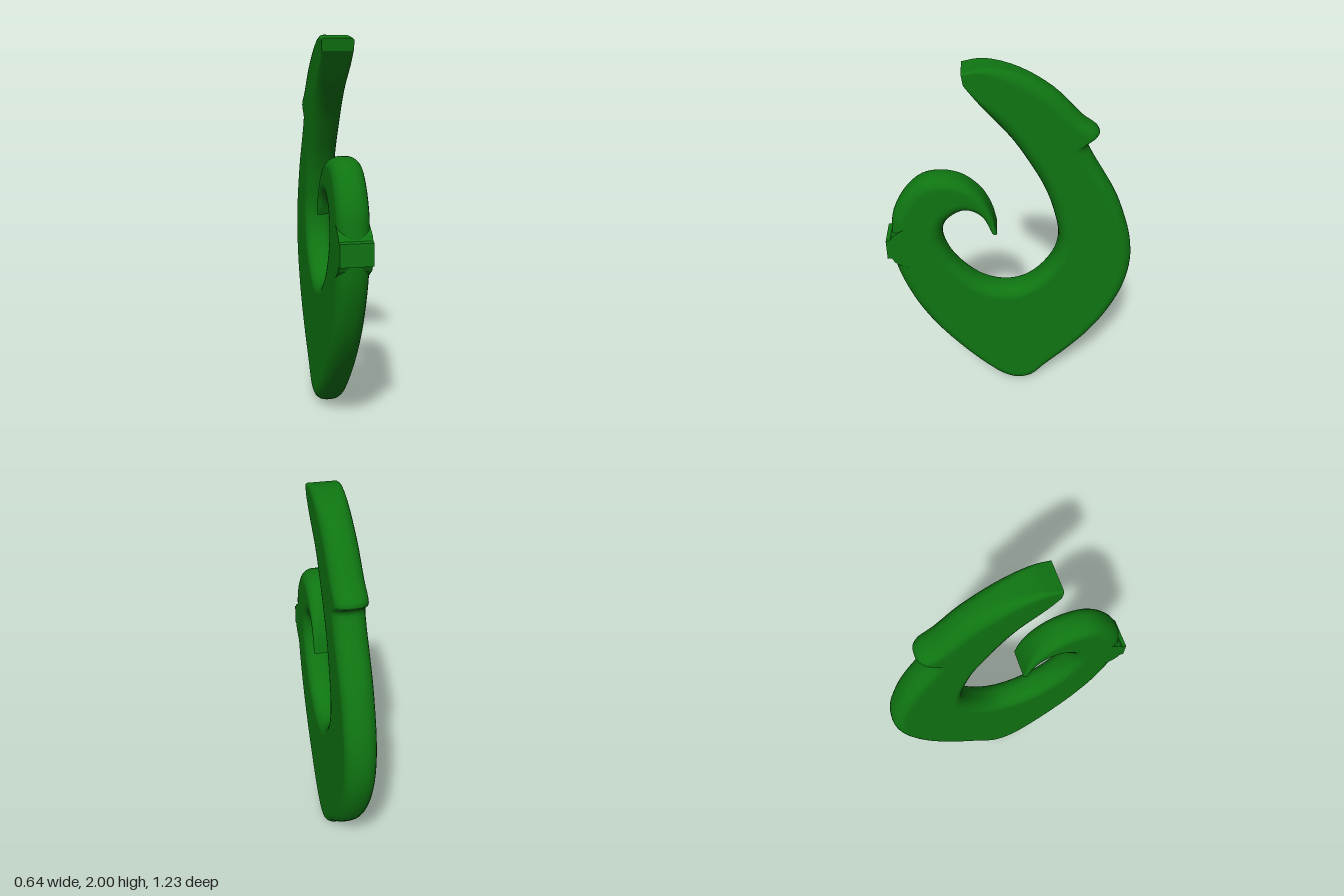
import * as THREE from 'three';

const HALF = 0.08; // half thickness of the carving

// Outer edge from the top tip, round the base, to the curled tip (across, up)
const OUTER = [
  [0.2, 1.98], [0.1, 2.0], [-0.05, 1.965], [-0.2, 1.87], [-0.33, 1.73], [-0.41, 1.655],
  [-0.36, 1.6], [-0.38, 1.54], [-0.44, 1.43], [-0.51, 1.3], [-0.56, 1.17], [-0.6, 1.03],
  [-0.615, 0.88], [-0.595, 0.72], [-0.53, 0.54], [-0.44, 0.38], [-0.33, 0.24], [-0.2, 0.1],
  [-0.13, 0.02], [-0.06, 0], [0.02, 0.03], [0.11, 0.11], [0.24, 0.255], [0.37, 0.43],
  [0.47, 0.61], [0.54, 0.8], [0.565, 0.92], [0.575, 1.02], [0.565, 1.11], [0.55, 1.21],
  [0.49, 1.33], [0.41, 1.41], [0.31, 1.43], [0.21, 1.4], [0.13, 1.32], [0.08, 1.21], [0.055, 1.1],
];
// Inner edge, one point for every second outer point
const INNER = [
  [0.185, 1.92], [0.08, 1.755], [-0.02, 1.62], [-0.09, 1.5], [-0.16, 1.36], [-0.21, 1.21],
  [-0.24, 1.04], [-0.22, 0.92], [-0.15, 0.8], [-0.07, 0.735], [0.02, 0.72], [0.115, 0.75],
  [0.205, 0.83], [0.275, 0.935], [0.31, 1.06], [0.29, 1.16], [0.2, 1.225], [0.12, 1.185], [0.075, 1.1],
];

const edge = (points, scale) =>
  new THREE.CatmullRomCurve3(points.map(([x, y]) => new THREE.Vector3(x / scale, y, 0)));

// Rounded rectangle as offsets [across, thickness]
function section(halfWidth, radius, steps = 6) {
  const out = [];
  [[1, 1], [-1, 1], [-1, -1], [1, -1]].forEach(([sx, sz], q) => {
    for (let i = 0; i <= steps; i++) {
      const a = (q + i / steps) * Math.PI / 2;
      out.push([
        sx * (halfWidth - radius) + Math.cos(a) * radius,
        sz * (HALF - radius) + Math.sin(a) * radius,
      ]);
    }
  });
  return out;
}

// Sweep of rounded sections spanning the two edges, with flat ends
function hookGeometry() {
  const outer = edge(OUTER, 0.93), inner = edge(INNER, 0.9);
  const n = 144, pos = [], index = [];
  let ring = 0;
  for (let i = 0; i <= n; i++) {
    const t = i / n;
    const o = outer.getPoint(t), p = inner.getPoint(t);
    const mid = o.clone().add(p).multiplyScalar(0.5);
    const half = o.distanceTo(p) / 2;
    const dir = o.sub(p).normalize();
    const soft = THREE.MathUtils.smoothstep(Math.min(t, 1 - t), 0, 0.08);
    const pts = section(half, Math.min(0.012 + 0.056 * soft, half * 0.9));
    ring = pts.length;
    for (const [a, b] of pts) pos.push(mid.x + dir.x * a, mid.y + dir.y * a, b);
  }
  for (let i = 0; i < n; i++) {
    for (let j = 0; j < ring; j++) {
      const a = i * ring + j, b = i * ring + (j + 1) % ring;
      index.push(a, a + ring, b, b, a + ring, b + ring);
    }
  }
  // End caps with their own vertices
  for (const [row, flip] of [[0, false], [n, true]]) {
    const base = pos.length / 3;
    for (let j = 0; j < ring * 3; j++) pos.push(pos[row * ring * 3 + j]);
    for (let j = 1; j < ring - 1; j++) {
      index.push(base, base + (flip ? j + 1 : j), base + (flip ? j : j + 1));
    }
  }
  const g = new THREE.BufferGeometry();
  g.setAttribute('position', new THREE.Float32BufferAttribute(pos, 3));
  g.setIndex(index);
  g.computeVertexNormals();
  return g;
}

export function createModel() {
  const green = new THREE.MeshStandardMaterial({ color: 0x0f7512 });
  green.name = 'deep green';

  const hook = new THREE.Mesh(hookGeometry(), green);
  hook.name = 'hookBody';

  // Square-ended knob with flared foot on the outer edge
  const shape = new THREE.Shape([
    [0.54, 0.89], [0.6, 0.93], [0.615, 0.96], [0.637, 0.96],
    [0.637, 1.07], [0.615, 1.075], [0.6, 1.1], [0.54, 1.14],
  ].map(([x, y]) => new THREE.Vector2(x, y)));
  const knobGeometry = new THREE.ExtrudeGeometry(shape, { depth: HALF * 2, bevelEnabled: false });
  knobGeometry.translate(0, 0, -HALF);
  const knob = new THREE.Mesh(knobGeometry, green);
  knob.name = 'knob';

  // The flat carving stands turned about the vertical axis
  const carving = new THREE.Group();
  carving.name = 'carving';
  carving.add(hook, knob);
  carving.rotation.y = THREE.MathUtils.degToRad(-113.3);

  const model = new THREE.Group();
  model.name = 'hookPendant';
  model.add(carving);
  return model;
}
